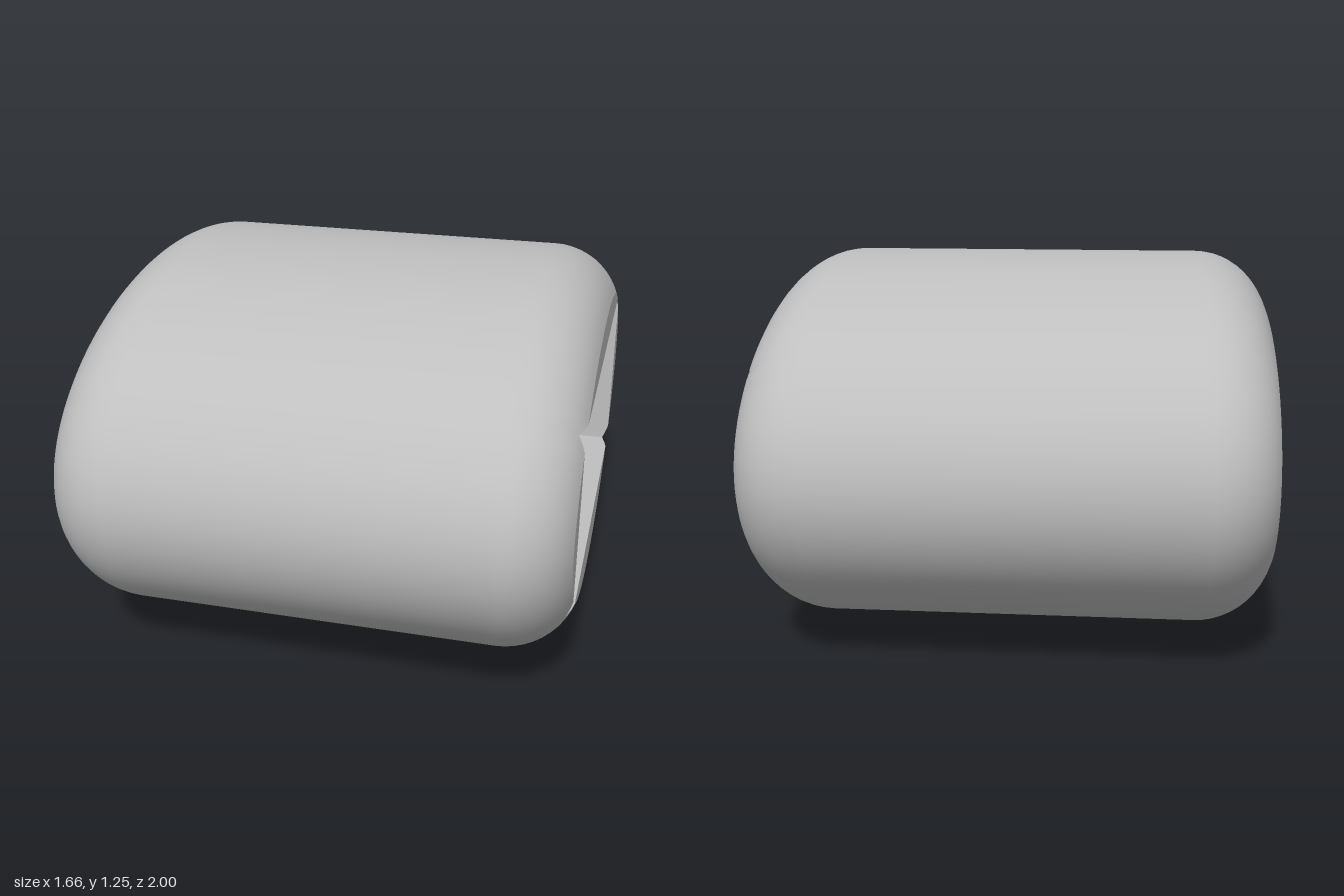
import * as THREE from 'three';

const HALF = 0.83, RZ = 1, RY = 0.625;        // half length and the oval's radii
const DROP = 0.17, A1 = 1.26;                 // inset of the end faces, sweep of the rounded edge
const R = DROP / (1 - Math.cos(A1));
const PZ = 0.685, PY = 0.3125, FLOOR = -0.6;  // pocket half sizes and floor
const HOLE_Z = -0.31, HOLE_R = 0.125;

// Angles around the oval, with the pocket corner and its edges sampled exactly
function ovalAngles() {
  const quarter = [0.6003, 0.636, 0.6736, 0.715, 0.757];
  for (let i = 0; i <= 24; i++) {
    const a = (i / 24) * Math.PI / 2;
    if (a < 0.59 || a > 0.77) quarter.push(a);
  }
  quarter.sort((a, b) => a - b);
  const half = [...quarter, ...quarter.slice(0, -1).reverse().map(a => Math.PI - a)];
  return [...half, ...half.slice(1, -1).map(a => a + Math.PI)];
}

// Closed rings of points joined into a surface
function loft(rows, flat) {
  const n = rows[0].length, index = [];
  for (let i = 0; i < rows.length - 1; i++) {
    for (let j = 0; j < n; j++) {
      const k = (j + 1) % n, a = i * n + j, b = i * n + k, c = a + n, d = b + n;
      index.push(a, b, c, b, d, c);
    }
  }
  let g = new THREE.BufferGeometry();
  g.setAttribute('position', new THREE.Float32BufferAttribute(rows.flat(2), 3));
  g.setIndex(index);
  if (flat) g = g.toNonIndexed();
  g.computeVertexNormals();
  return g;
}

// Point on the rounded edge at oval angle p and roll angle a
function edgePoint(p, a, side) {
  const d = R * (1 - Math.cos(a));
  return [side * (HALF - R * (Math.sin(A1) - Math.sin(a))),
    RY + (RY - d) * Math.sin(p), (RZ - d) * Math.cos(p)];
}

// Roll angle at which the rounded edge meets the end face or the pocket
function rollLimit(p) {
  const c = Math.abs(Math.cos(p)) + 1e-9, s = Math.abs(Math.sin(p)) + 1e-9;
  const d = Math.min(DROP, Math.max(RZ - PZ / c, RY - PY / s));
  return Math.acos(1 - d / R);
}

// Flat plate with the round hole in it
function holedPlate(shape, holeX) {
  const hole = new THREE.Path();
  hole.absarc(holeX, 0, HOLE_R, 0, Math.PI * 2, true);
  shape.holes.push(hole);
  return new THREE.ShapeGeometry(shape, 48);
}

export function createModel() {
  const group = new THREE.Group();
  const grey = new THREE.MeshStandardMaterial({ color: 0xbfbfbf });
  grey.name = 'grey';
  const add = (name, geometry) => {
    const mesh = new THREE.Mesh(geometry, grey);
    mesh.name = name;
    group.add(mesh);
    return mesh;
  };

  // Oval body with rounded ends
  const angles = ovalAngles(), steps = 10, rows = [];
  for (let i = steps; i >= 0; i--) rows.push(angles.map(p => edgePoint(p, rollLimit(p) * i / steps, 1)));
  for (let i = 0; i <= steps; i++) rows.push(angles.map(p => edgePoint(p, A1 * i / steps, -1)));
  add('body', loft(rows));

  // End face around the pocket mouth
  const outer = rows[0];
  const rim = outer.map(([x, y, z]) => {
    const s = Math.min(1, PZ / (Math.abs(z) + 1e-9), PY / (Math.abs(y - RY) + 1e-9));
    return [x, RY + (y - RY) * s, z * s];
  });
  add('pocketEndFace', loft([rim, outer], true));

  // Rectangular pocket
  add('pocketWalls', loft([rim.map(([, y, z]) => [FLOOR, y, z]), rim], true));
  const rect = new THREE.Shape();
  rect.moveTo(-PZ, -PY).lineTo(PZ, -PY).lineTo(PZ, PY).lineTo(-PZ, PY).closePath();
  const floor = add('pocketFloor', holedPlate(rect, -HOLE_Z).rotateY(Math.PI / 2));
  floor.position.set(FLOOR, RY, 0);

  // Closed end face with the round hole
  const oval = new THREE.Shape();
  oval.absellipse(0, 0, RZ - DROP, RY - DROP, 0, Math.PI * 2, false, 0);
  const end = add('holeEndFace', holedPlate(oval, HOLE_Z).rotateY(-Math.PI / 2));
  end.position.set(-HALF, RY, 0);

  // Bore through the end wall
  const ring = x => Array.from({ length: 48 }, (_, i) => {
    const a = (i / 48) * Math.PI * 2;
    return [x, RY + HOLE_R * Math.sin(a), HOLE_Z + HOLE_R * Math.cos(a)];
  });
  add('holeBore', loft([ring(-HALF), ring(FLOOR)]));

  return group;
}
